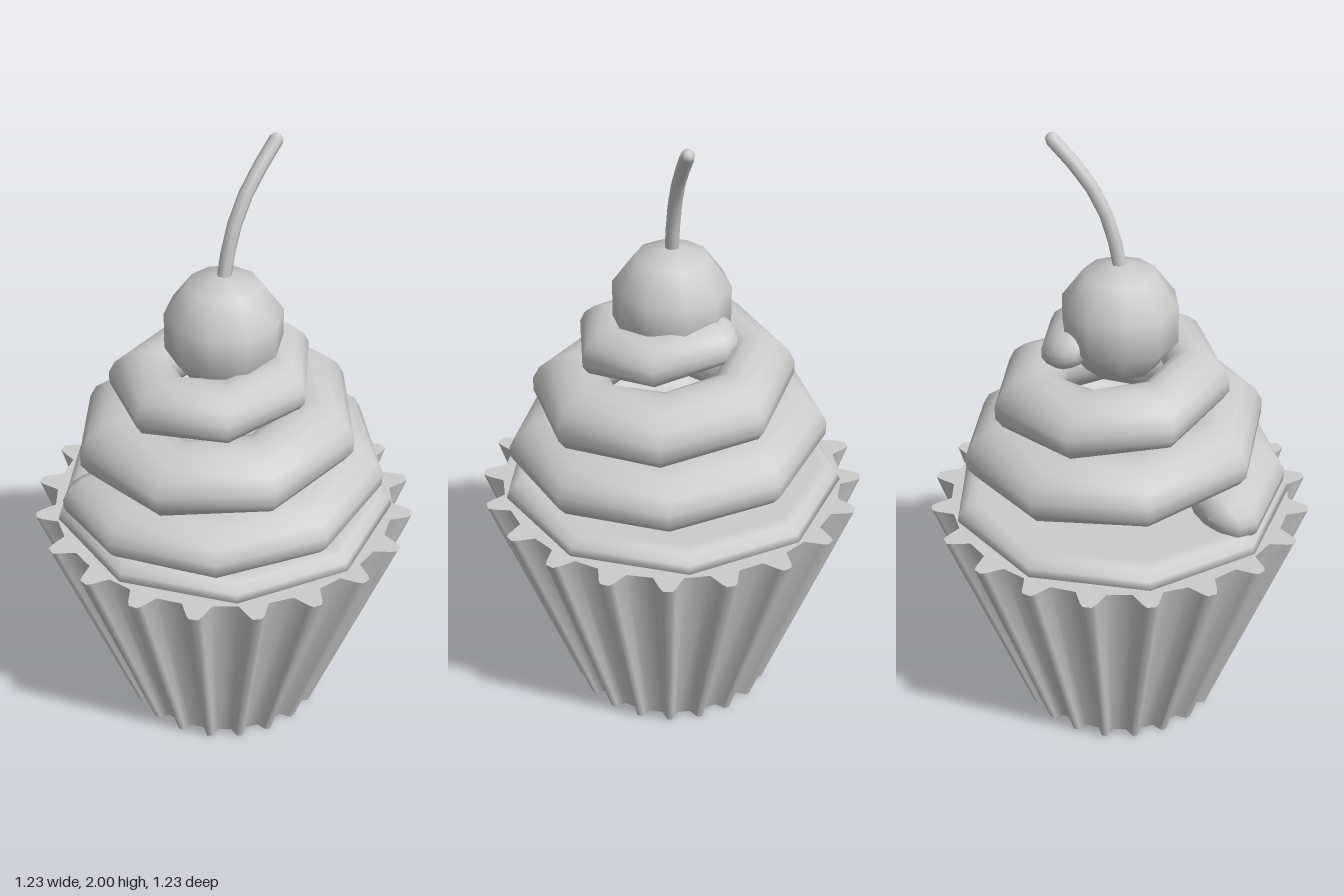
import * as THREE from 'three';

const rad = THREE.MathUtils.degToRad;
const grey = new THREE.MeshStandardMaterial({ color: 0xcccccc });
const thin = new THREE.MeshStandardMaterial({ color: 0xcccccc, side: THREE.DoubleSide });

// Point at an angle around the y axis (0 = front, 90 = model's left)
const polar = (deg, r, y) => new THREE.Vector3(r * Math.sin(rad(deg)), y, r * Math.cos(rad(deg)));

// Skin a list of closed cross-sections with smooth normals
function loft(rings) {
  const n = rings[0].length, index = [];
  for (let i = 0; i < rings.length - 1; i++) {
    for (let j = 0; j < n; j++) {
      const a = i * n + j, b = i * n + (j + 1) % n;
      index.push(a, b, b + n, a, b + n, a + n);
    }
  }
  const geo = new THREE.BufferGeometry().setFromPoints(rings.flat());
  geo.setIndex(index);
  geo.computeVertexNormals();
  return geo;
}

// Fluted outline: 20 narrow pleats with wide valleys
function pleats(scale, y) {
  const tooth = [[-4.8, 0.55], [-2.3, 0.6], [-1.3, 0.615], [1.3, 0.615], [2.3, 0.6], [4.8, 0.55]];
  const ring = [];
  for (let i = 0; i < 20; i++) {
    for (const [d, r] of tooth) ring.push(polar(4.3 + i * 18 + d, r * scale, y));
  }
  return ring;
}

// Spiral icing: a leaning oval section that climbs and shrinks
function icingGeometry() {
  const stations = [[-34, 0.02], [-33, 0.45], [-30, 0.8], [-24, 1]];
  for (let i = 1; i <= 21; i++) stations.push([-30 + 37.3 * i + 0.4 * i * i, 1]);
  stations.push([943, 0.95], [953, 0.75], [959, 0.42], [961, 0.02]);
  const rings = stations.map(([deg, size]) => {
    const t = (deg + 30) / 990;
    const a = 0.13 - 0.055 * t * t;
    const b = 0.085 + 0.025 * Math.sin(Math.PI * t) - 0.02 * t;
    const centre = 0.535 - 0.08 * t - 0.22 * t * t - a;
    const ring = [];
    for (let j = 0; j < 14; j++) {
      const q = (j / 14) * Math.PI * 2;
      const up = -Math.sin(q) * b * size;
      ring.push(polar(deg, centre + Math.cos(q) * a * size - 0.25 * up, 0.875 + 0.49 * t + up));
    }
    return ring;
  });
  return loft(rings);
}

export function createModel() {
  const group = new THREE.Group();
  const add = (name, geo, mat = grey) => {
    const mesh = new THREE.Mesh(geo, mat);
    mesh.name = name;
    group.add(mesh);
    return mesh;
  };

  // Pleated paper cup, open at the bottom
  const cupTop = 0.775;
  add('paperCup', loft([pleats(0.537, 0), pleats(1, cupTop)]), thin);

  // Flat rim filling the pleats
  const rim = new THREE.Shape(pleats(1, 0).map((p) => new THREE.Vector2(p.x, -p.z)));
  add('cupRim', new THREE.ShapeGeometry(rim).rotateX(-Math.PI / 2).translate(0, cupTop, 0), thin);

  // Nine-sided cake top
  const cake = [[0.52, 0.77], [0.548, 0.785], [0.54, 0.81], [0.515, 0.835], [0.48, 0.842], [0, 0.842]]
    .map(([r, y]) => new THREE.Vector2(r, y));
  add('cakeTop', new THREE.LatheGeometry(cake, 9, rad(13)));

  add('icingSwirl', icingGeometry());

  // Cherry with a bent stem
  add('cherry', new THREE.SphereGeometry(0.193, 10, 5).rotateY(rad(18)).translate(0, 1.42, 0));
  const path = new THREE.CatmullRomCurve3(
    [[1.58, 0.003], [1.73, -0.03], [1.86, -0.095], [1.985, -0.205]].map(([y, z]) => new THREE.Vector3(0, y, z)));
  add('cherryStem', new THREE.TubeGeometry(path, 5, 0.022, 8));
  const tip = add('stemTip', new THREE.SphereGeometry(0.022, 8, 6));
  tip.position.set(0, 1.983, -0.203);
  tip.scale.setScalar(0.95);

  return group;
}
